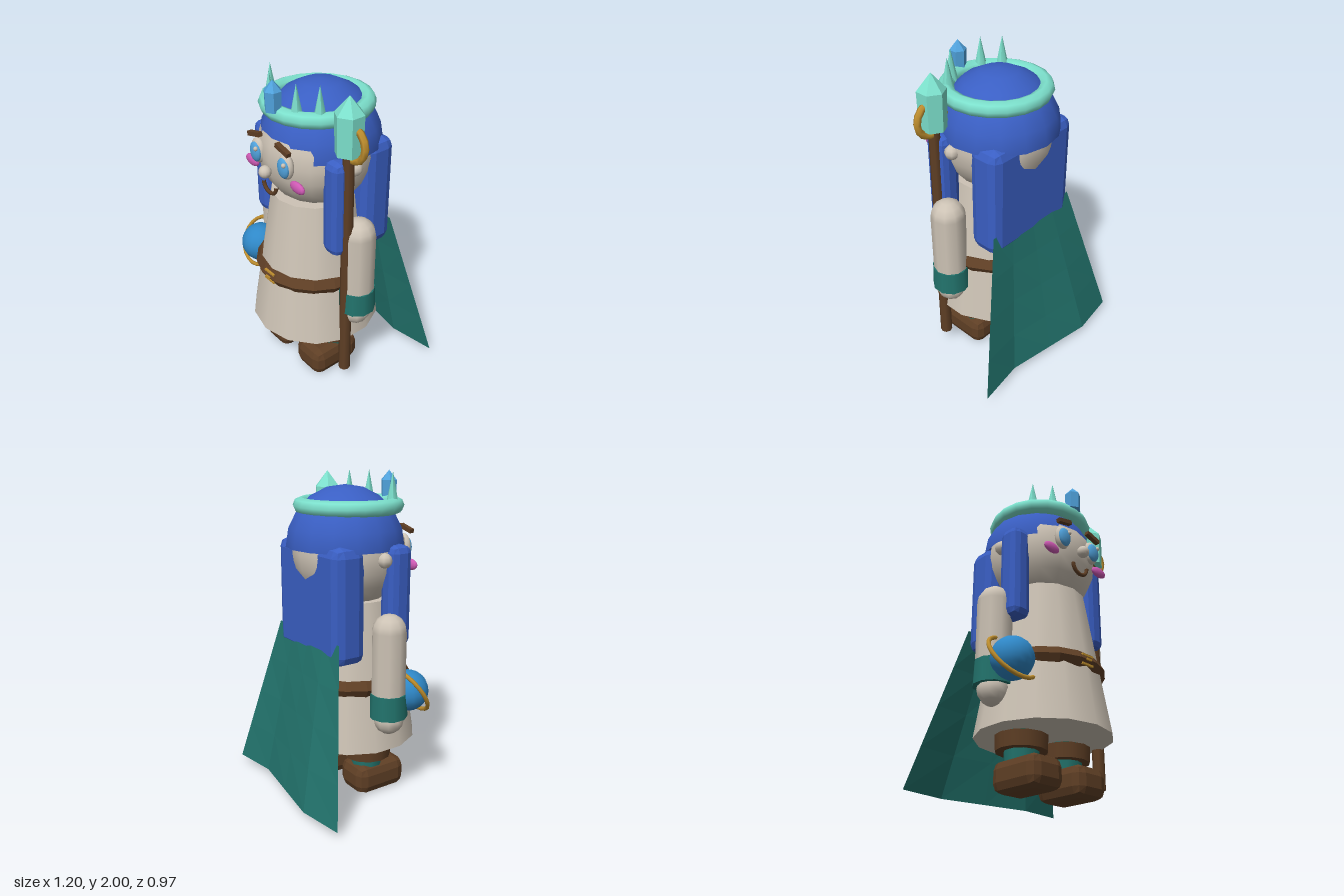
import * as THREE from 'three';
import { RoundedBoxGeometry } from 'three/addons/geometries/RoundedBoxGeometry.js';

const mat = (name, color) => Object.assign(new THREE.MeshStandardMaterial({ color }), { name });

export function createModel() {
  const cloth = mat('cream', 0xcdc3b5);
  const hairBlue = mat('hair blue', 0x3a5fc4);
  const teal = mat('teal', 0x22736c);
  const brown = mat('brown', 0x5f3f25);
  const mint = mat('mint', 0x7ce0cc);
  const crystalBlue = mat('crystal blue', 0x50a2dc);
  const orbBlue = mat('orb blue', 0x2f88c8);
  const gold = mat('gold', 0xc08f2e);
  const pink = mat('pink', 0xd05ab5);
  const group = new THREE.Group();

  const add = (name, geo, material, x, y, z, parent = group) => {
    const mesh = new THREE.Mesh(geo, material);
    mesh.name = name;
    mesh.position.set(x, y, z);
    parent.add(mesh);
    return mesh;
  };
  const flat = (geo) => {
    const g = geo.index ? geo.toNonIndexed() : geo;
    g.computeVertexNormals();
    return g;
  };
  const chamferBox = (w, h, d, r) => flat(new RoundedBoxGeometry(w, h, d, 1, r));
  const ball = (r, w = 12, h = 8) => new THREE.SphereGeometry(r, w, h);

  // Hexagonal crystal: straight body with a pointed tip, standing on its base
  const crystal = (name, material, r, body, tip, x, y, z) => {
    const pts = [[0, 0], [r * 0.95, 0], [r, body], [0, body + tip]].map(([a, b]) => new THREE.Vector2(a, b));
    return add(name, flat(new THREE.LatheGeometry(pts, 6)), material, x, y, z);
  };

  // Robe and belt
  add('robe', new THREE.CylinderGeometry(0.265, 0.412, 0.905, 14), cloth, 0, 0.797, 0.07);
  const belt = add('belt', flat(new THREE.TorusGeometry(0.32, 0.057, 6, 18)), brown, 0, 0.74, 0.07);
  belt.rotation.x = Math.PI / 2;
  for (const y of [0.712, 0.74, 0.768])
    add('buckle', new THREE.BoxGeometry(y === 0.74 ? 0.04 : 0.09, 0.012, 0.02), gold, 0, y, y === 0.74 ? 0.436 : 0.425);

  // Head and hair
  add('head', ball(0.348, 16, 12), cloth, 0, 1.52, 0.05);
  const cap = new THREE.SphereGeometry(0.362, 16, 5, 0, Math.PI * 2, 0, Math.PI / 2);
  const hairCap = add('hairCap', cap, hairBlue, 0, 1.56, 0.02);
  hairBlue.side = THREE.DoubleSide;
  hairCap.name = 'hairCap';
  add('backHair', chamferBox(0.67, 0.7, 0.215, 0.06), hairBlue, 0, 1.25, -0.158);

  // Face centre
  add('nose', ball(0.038), cloth, 0, 1.47, 0.425);
  const mouth = add('mouth', new THREE.TorusGeometry(0.06, 0.012, 6, 12, Math.PI), brown, 0, 1.383, 0.395);
  mouth.rotation.z = Math.PI;

  for (const s of [-1, 1]) {
    // Facial features
    add('eyeWhite', ball(1, 14, 10), cloth, s * 0.13, 1.54, 0.372).scale.set(0.056, 0.078, 0.035);
    add('iris', ball(1, 14, 10), crystalBlue, s * 0.13, 1.536, 0.392).scale.set(0.048, 0.062, 0.024);
    add('eyeGlint', ball(0.014, 8, 6), cloth, s * 0.13 + 0.025, 1.567, 0.409);
    add('eyebrow', new THREE.BoxGeometry(0.11, 0.026, 0.03), brown, s * 0.13, 1.648, 0.392).rotation.z = -s * 0.25;
    add('cheek', ball(1), pink, s * 0.213, 1.438, 0.362).scale.set(0.063, 0.035, 0.02);
    add('ear', ball(0.045, 8, 6), cloth, s * 0.345, 1.51, 0.06);
    add('sideLock', chamferBox(0.14, 0.605, 0.15, 0.045), hairBlue, s * 0.325, 1.29, 0.16);

    // Arms
    add('arm', new THREE.CapsuleGeometry(0.105, 0.46, 4, 10), cloth, s * 0.395, 0.87, 0.065);
    add('cuff', new THREE.CylinderGeometry(0.112, 0.118, 0.148, 10), teal, s * 0.395, 0.645, 0.065);
    add('hand', ball(0.095, 10, 8), cloth, s * 0.395, 0.55, 0.07);

    // Legs and boots
    add('leg', new THREE.CylinderGeometry(0.11, 0.1, 0.2, 10), teal, s * 0.175, 0.265, 0.07);
    add('bootCuff', new THREE.CylinderGeometry(0.157, 0.152, 0.09, 12), brown, s * 0.175, 0.282, 0.07);
    add('boot', chamferBox(0.245, 0.19, 0.355, 0.058), brown, s * 0.175, 0.095, 0.117);
  }

  // Crown with spikes and front gem
  add('crownBand', new THREE.TorusGeometry(0.287, 0.048, 8, 20), mint, 0, 1.8, 0.045).rotation.x = Math.PI / 2;
  for (const [x, z] of [[0.22, 0.205], [0.12, 0.285]])
    for (const s of [-1, 1])
      add('crownSpike', new THREE.ConeGeometry(0.042, 0.2, 6), mint, s * x, 1.895, z);
  crystal('crownGem', crystalBlue, 0.052, 0.115, 0.06, 0, 1.82, 0.35);

  // Staff
  add('staffPole', new THREE.CylinderGeometry(0.033, 0.038, 1.56, 8), brown, 0.39, 0.88, 0.15);
  crystal('staffCrystal', mint, 0.085, 0.23, 0.1, 0.39, 1.65, 0.15);
  add('staffRing', new THREE.TorusGeometry(0.1, 0.022, 6, 14), gold, 0.41, 1.715, 0.145);

  // Orb with its tilted open ring
  add('orb', ball(0.127, 16, 12), orbBlue, -0.39, 0.7, 0.22);
  const ringArc = new THREE.TorusGeometry(0.162, 0.013, 6, 12, 3.5);
  ringArc.rotateZ(1.83);
  add('orbRing', ringArc, gold, -0.39, 0.705, 0.22).rotation.x = -0.55;

  // Cape: flares and ripples towards the hem
  const capeGeo = new THREE.PlaneGeometry(2, 1, 4, 4);
  const p = capeGeo.attributes.position;
  for (let i = 0; i < p.count; i++) {
    const u = p.getX(i), t = 0.5 - p.getY(i);
    p.setXYZ(i, u * (0.335 + 0.265 * t), 1.05 - 1.005 * t,
      -0.25 - 0.19 * t + 0.045 * t * Math.sin(u * Math.PI));
  }
  const capeMat = teal.clone();
  capeMat.name = 'cape teal';
  capeMat.side = THREE.DoubleSide;
  add('cape', flat(capeGeo), capeMat, 0, 0, 0);

  return group;
}
